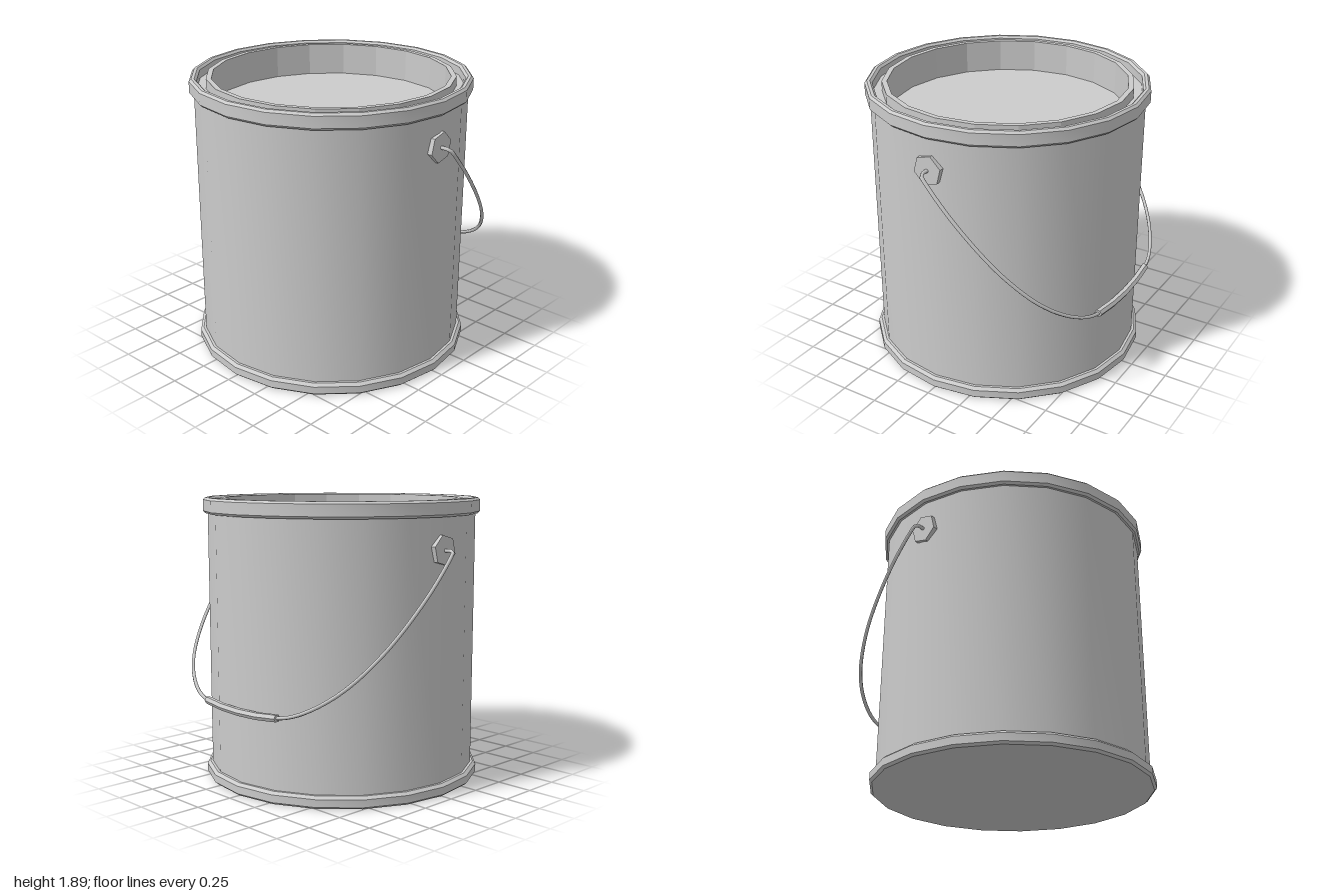
import * as THREE from 'three';
import { toCreasedNormals } from 'three/addons/utils/BufferGeometryUtils.js';

const SIDES = 20;
const PIVOT_Y = 1.58;
const SLOPE = 1.13;

const smooth = new THREE.MeshStandardMaterial({ color: 0xcccccc });
const flat = new THREE.MeshStandardMaterial({ color: 0xcccccc, flatShading: true });

// The handle lies in a plane that leans back and down from the pivots
const onHandlePlane = (x, t) => new THREE.Vector3(x, PIVOT_Y - SLOPE * t, -t);

function part(name, geometry, material = smooth) {
  const mesh = new THREE.Mesh(geometry, material);
  mesh.name = name;
  return mesh;
}

// Turned part, round along the wall but with sharp profile corners
function turned(name, profile, material = smooth) {
  const points = profile.map(([r, y]) => new THREE.Vector2(r, y));
  const geometry = new THREE.LatheGeometry(points, SIDES);
  return part(name, toCreasedNormals(geometry, 0.4), material);
}

export function createModel() {
  const model = new THREE.Group();
  model.name = 'paintCan';

  // Can: chamfered base, plain wall, chamfered top rim with a groove
  model.add(turned('baseRing', [
    [0, 0], [0.92, 0], [0.937, 0.015], [0.937, 0.065], [0.917, 0.083], [0.89, 0.083],
  ]));
  model.add(turned('wall', [[0.9, 0.07], [0.9, 1.8]]));
  model.add(turned('topRim', [
    [0.89, 1.785], [0.915, 1.785], [0.93, 1.8], [0.93, 1.875], [0.915, 1.89],
    [0.895, 1.89], [0.88, 1.875], [0.88, 1.82], [0.81, 1.82],
  ]));

  // Sunken lid with a raised lip
  model.add(turned('lid', [
    [0.82, 1.81], [0.82, 1.885], [0.785, 1.885], [0.785, 1.67], [0, 1.67],
  ], flat));

  // Six-sided ears holding the handle
  for (const side of [1, -1]) {
    const ear = new THREE.CylinderGeometry(0.1, 0.1, 0.04, 6, 1, false, Math.PI / 12);
    ear.rotateZ(-Math.PI / 2);
    ear.translate(side * 0.898, PIVOT_Y, 0);
    model.add(part(side > 0 ? 'leftEar' : 'rightEar', ear, flat));
  }

  // Wire handle: half its path as [x, distance back], then mirrored
  const half = [
    [0.89, 0], [0.93, 0], [0.965, 0], [0.985, 0.008], [0.99, 0.03], [0.985, 0.2], [0.94, 0.4],
    [0.88, 0.54], [0.78, 0.68], [0.66, 0.78], [0.5, 0.86], [0.35, 0.895],
  ];
  const path = [
    ...half.map(([x, t]) => onHandlePlane(x, t)),
    onHandlePlane(0, 0.912),
    ...half.map(([x, t]) => onHandlePlane(-x, t)).reverse(),
  ];
  const curve = new THREE.CatmullRomCurve3(path, false, 'centripetal');
  model.add(part('handleWire', new THREE.TubeGeometry(curve, 120, 0.012, 6)));

  // Grip: a six-sided bar bent to follow the wire
  const grip = new THREE.CylinderGeometry(0.026, 0.026, 0.7, 6, 4);
  grip.rotateZ(-Math.PI / 2);
  const pos = grip.attributes.position;
  for (let i = 0; i < pos.count; i++) {
    const x = pos.getX(i);
    const centre = onHandlePlane(x, 0.912 - 0.017 * (x / 0.35) ** 2);
    pos.setXYZ(i, x, pos.getY(i) + centre.y, pos.getZ(i) + centre.z);
  }
  model.add(part('handleGrip', grip, flat));

  return model;
}
